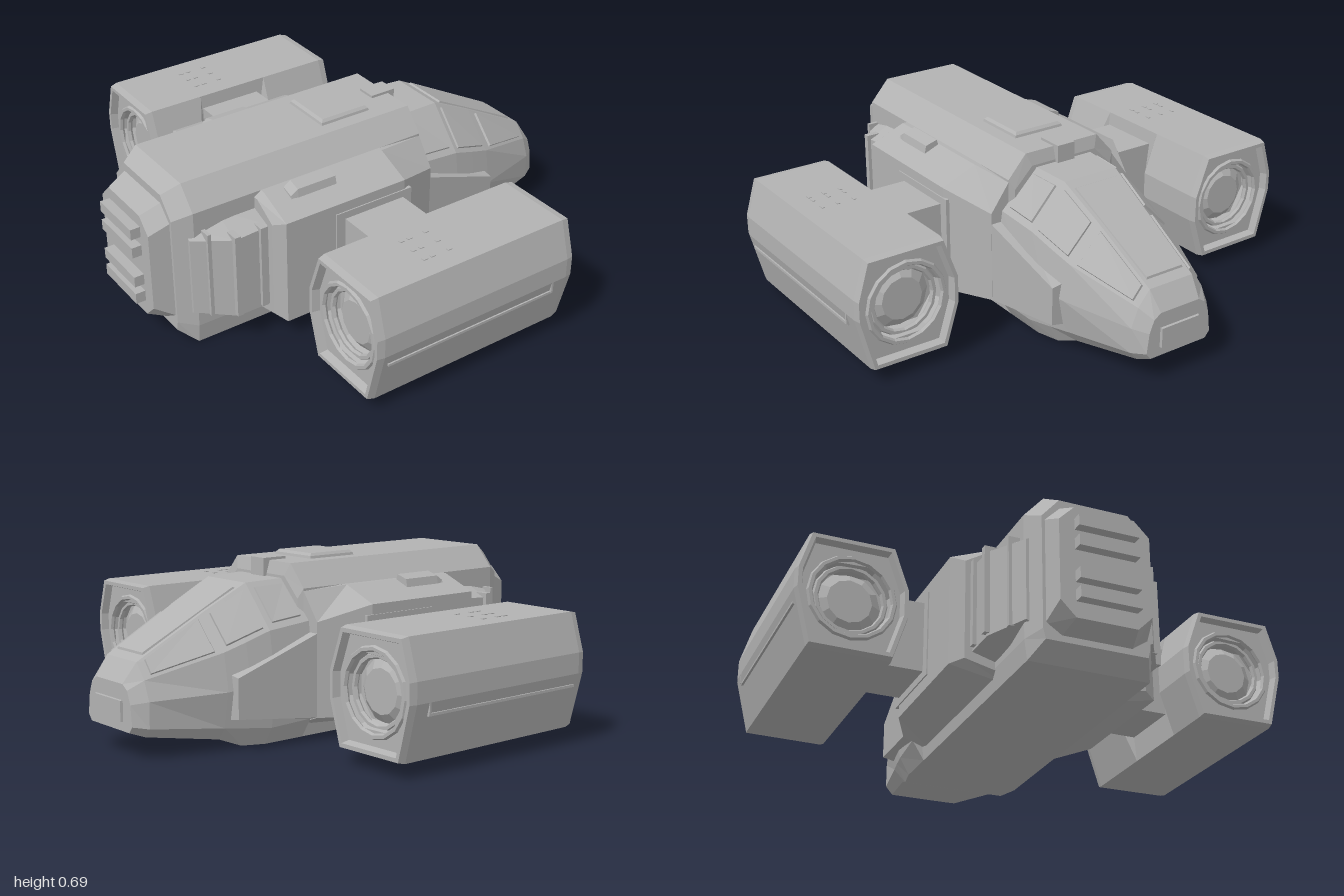
import * as THREE from 'three';

export function createModel() {
  const model = new THREE.Group();
  const hullGrey = new THREE.MeshStandardMaterial({ color: 0xb2b2b2 });
  hullGrey.name = 'hull grey';
  hullGrey.flatShading = true;

  const add = (geometry, name) => {
    const mesh = new THREE.Mesh(geometry, hullGrey);
    mesh.name = name;
    model.add(mesh);
    return mesh;
  };

  // Closed skin through rings of [x, y, z] points, turned outward by its volume
  function loft(rings, name) {
    const tris = [];
    const n = rings[0].length;
    for (let r = 0; r + 1 < rings.length; r++) {
      for (let i = 0; i < n; i++) {
        const j = (i + 1) % n;
        const a = rings[r][i], b = rings[r][j], c = rings[r + 1][j], d = rings[r + 1][i];
        tris.push([a, b, c], [a, c, d]);
      }
    }
    const first = rings[0], last = rings[rings.length - 1];
    for (let i = 1; i + 1 < n; i++) {
      tris.push([first[0], first[i + 1], first[i]], [last[0], last[i], last[i + 1]]);
    }
    let volume = 0;
    const v = tris.map(t => t.map(p => new THREE.Vector3(...p)));
    v.forEach(([a, b, c]) => { volume += a.dot(b.clone().cross(c)); });
    const pos = [];
    v.forEach(([a, b, c]) => (volume > 0 ? [a, b, c] : [a, c, b]).forEach(p => pos.push(p.x, p.y, p.z)));
    const geometry = new THREE.BufferGeometry();
    geometry.setAttribute('position', new THREE.Float32BufferAttribute(pos, 3));
    geometry.computeVertexNormals();
    return add(geometry, name);
  }

  // Sections are [x, [z, y], [z, y], ...]
  const mirrored = ([x, ...half]) => [
    ...half.map(([z, y]) => [x, y, z]),
    ...half.slice().reverse().map(([z, y]) => [x, y, -z]),
  ];
  const sided = s => ([x, ...pts]) => pts.map(([z, y]) => [x, y, z * s]);

  function box(name, x0, x1, y0, y1, z0, z1) {
    const mesh = add(new THREE.BoxGeometry(x1 - x0, y1 - y0, Math.abs(z1 - z0)), name);
    mesh.position.set((x0 + x1) / 2, (y0 + y1) / 2, (z0 + z1) / 2);
    return mesh;
  }

  // Thin plate lying on a four-cornered face, shrunk toward its middle
  function panel(name, corners, shrink = 0.82, lift = 0.008) {
    const p = corners.map(c => new THREE.Vector3(...c));
    const mid = p.reduce((m, c) => m.add(c), new THREE.Vector3()).multiplyScalar(0.25);
    const normal = p[2].clone().sub(p[0]).cross(p[3].clone().sub(p[1])).normalize();
    if (normal.dot(mid.clone().sub(new THREE.Vector3(mid.x - 0.1, 0.25, 0))) < 0) normal.negate();
    const ring = (k, h) => p.map(c => c.clone().sub(mid).multiplyScalar(k).add(mid).addScaledVector(normal, h).toArray());
    loft([ring(shrink, -0.003), ring(shrink - 0.03, lift)], name);
  }

  // Main hull
  loft([
    [-0.85, [0.14, 0.63], [0.21, 0.55], [0.21, 0.1], [0.2, 0.06]],
    [-0.78, [0.17, 0.67], [0.25, 0.58], [0.25, 0.08], [0.24, 0]],
    [0.25, [0.17, 0.67], [0.25, 0.58], [0.25, 0.08], [0.24, 0]],
    [0.265, [0.15, 0.62], [0.23, 0.54], [0.24, 0.08], [0.23, 0.01]],
  ].map(mirrored), 'mainHull');

  // Cockpit and nose
  const nose = [
    [0.25, [0.13, 0.61], [0.28, 0.46], [0.31, 0.25], [0.29, 0.08], [0.24, 0]],
    [0.43, [0.12, 0.605], [0.27, 0.44], [0.3, 0.25], [0.28, 0.07], [0.24, 0]],
    [0.53, [0.115, 0.555], [0.255, 0.405], [0.285, 0.24], [0.26, 0.08], [0.22, 0.005]],
    [0.62, [0.11, 0.51], [0.24, 0.375], [0.265, 0.23], [0.24, 0.09], [0.2, 0.04]],
    [0.91, [0.1, 0.355], [0.15, 0.295], [0.18, 0.22], [0.18, 0.12], [0.15, 0.085]],
    [0.965, [0.09, 0.28], [0.12, 0.26], [0.14, 0.21], [0.15, 0.13], [0.13, 0.105]],
  ].map(mirrored);
  loft(nose, 'cockpit');
  panel('windshield', [nose[1][0], nose[1][9], nose[4][9], nose[4][0]], 0.86);
  panel('nosePlate', [[0.967, 0.22, 0.09], [0.967, 0.22, -0.09], [0.967, 0.14, -0.09], [0.967, 0.14, 0.09]], 1);
  box('roofLatch', 0.17, 0.28, 0.6, 0.68, -0.04, 0.04);

  // Roof hatch
  loft([[0.66, 0.115], [0.68, 0.11], [0.69, 0.1]].map(([y, r]) =>
    [[-0.01 - r, y, -r], [-0.01 + r, y, -r], [-0.01 + r, y, r], [-0.01 - r, y, r]]), 'roofHatch');

  // Rear block and cooling fins
  loft([
    [-0.93, [0.12, 0.56], [0.18, 0.5], [0.18, 0.18], [0.12, 0.12]],
    [-0.84, [0.14, 0.6], [0.2, 0.54], [0.2, 0.12], [0.14, 0.08]],
  ].map(mirrored), 'rearBlock');
  for (const y of [0.205, 0.28, 0.41, 0.49]) box('rearFin', -0.97, -0.92, y - 0.022, y + 0.022, -0.12, 0.12);

  for (const s of [1, -1]) {
    const side = sided(s);

    // Cockpit side windows
    const edge = (i, k) => { const [x, y, z] = nose[i][k]; return [x, y, z * s]; };
    panel('sideWindowRear', [edge(0, 0), edge(1, 0), edge(1, 1), edge(0, 1)], 0.75);
    panel('sideWindowFront', [edge(1, 0), edge(3, 0), edge(3, 1), edge(1, 1)], 0.82);
    panel('sideWindowNose', [edge(3, 0), edge(4, 0), edge(4, 1), edge(3, 1)], 0.82);

    // Side pod with its front fairing
    loft([
      [-0.52, [0.2, 0.56], [0.27, 0.56], [0.37, 0.5], [0.37, 0.1], [0.2, 0.06]],
      [-0.49, [0.2, 0.58], [0.27, 0.58], [0.42, 0.52], [0.42, 0.08], [0.2, 0.04]],
      [0.05, [0.2, 0.58], [0.27, 0.58], [0.42, 0.52], [0.42, 0.08], [0.2, 0.04]],
      [0.25, [0.2, 0.58], [0.25, 0.57], [0.33, 0.46], [0.33, 0.09], [0.2, 0.04]],
    ].map(side), 'sidePod');

    // Lower cheek beside the cockpit
    loft([
      [0.24, [0.2, 0.42], [0.33, 0.42], [0.33, 0.09], [0.2, 0.05]],
      [0.6, [0.2, 0.3], [0.3, 0.285], [0.3, 0.13], [0.2, 0.11]],
    ].map(side), 'cheek');

    // Rear flank with ribs
    loft([
      [-0.8, [0.2, 0.5], [0.25, 0.47], [0.25, 0.15], [0.2, 0.12]],
      [-0.66, [0.2, 0.53], [0.34, 0.47], [0.34, 0.13], [0.2, 0.1]],
      [-0.51, [0.2, 0.53], [0.34, 0.48], [0.34, 0.13], [0.2, 0.09]],
    ].map(side), 'rearFlank');
    for (const x of [-0.67, -0.56]) box('flankRib', x, x + 0.025, 0.14, 0.49, s * 0.3, s * 0.355);
    box('flankRail', -0.75, -0.735, 0.14, 0.5, s * 0.25, s * 0.295);

    // Raised vent on the pod roof
    loft([
      [-0.41, [0.27, 0.56], [0.28, 0.58], [0.33, 0.565], [0.34, 0.54]],
      [-0.38, [0.27, 0.57], [0.28, 0.6], [0.33, 0.585], [0.34, 0.54]],
      [-0.21, [0.27, 0.57], [0.28, 0.6], [0.33, 0.585], [0.34, 0.54]],
    ].map(side), 'podVent');
    box('podSidePlate', -0.27, 0.08, 0.13, 0.48, s * 0.41, s * 0.425);

    box('pylon', -0.23, 0.04, 0.16, 0.45, s * 0.38, s * 0.65);

    // Engine nacelle, notched at the pylon and hollowed at both ends
    const cz = 0.785, cy = 0.282;
    const outline = [[0.955, 0.505], [1, 0.355], [1, 0.275], [0.945, 0.058],
      [0.63, 0.055], [0.575, 0.23], [0.575, 0.34], [0.635, 0.505]];
    const scaled = (x, k) => side([x, ...outline.map(([z, y]) => [cz + (z - cz) * k, cy + (y - cy) * k])]);
    const notched = x => side([x, ...outline.map(([z, y]) => [Math.max(z, 0.615), y])]);
    const round = (x, r) => side([x, ...outline.map(([z, y]) => {
      const a = Math.atan2(y - cy, z - cz);
      return [cz + r * Math.cos(a), cy + r * Math.sin(a)];
    })]);
    loft([
      round(-0.41, 0.14), round(-0.47, 0.165), scaled(-0.47, 0.86), scaled(-0.5, 0.9), scaled(-0.5, 0.97),
      scaled(-0.47, 1), scaled(-0.27, 1), notched(-0.235), notched(0.04), scaled(0.08, 1),
      scaled(0.37, 1), scaled(0.4, 0.97), scaled(0.4, 0.9), scaled(0.37, 0.86), round(0.37, 0.165), round(0.31, 0.14),
    ], 'nacelle');

    // Turbine rings and hub at each end
    for (const [x, d] of [[0.37, 1], [-0.47, -1]]) {
      for (const [r, t, back] of [[0.158, 0.012, 0], [0.13, 0.012, 0.025]]) {
        const ring = add(new THREE.TorusGeometry(r, t, 6, 16), 'turbineRing');
        ring.rotation.y = Math.PI / 2;
        ring.position.set(x - d * back, cy, s * cz);
      }
      const hub = add(new THREE.CylinderGeometry(0.085, 0.125, 0.03, 12), 'turbineHub');
      hub.rotation.z = -d * Math.PI / 2;
      hub.position.set(x - d * 0.045, cy, s * cz);
    }

    // Raised lips of the long side slot
    box('slotLipLower', -0.45, 0.31, 0.225, 0.235, s * 0.985, s * 0.996);
    box('slotLipUpper', -0.45, 0.31, 0.335, 0.343, s * 0.995, s * 1);
    box('slotLipEnd', 0.302, 0.31, 0.23, 0.34, s * 0.99, s * 1);

    // Small studs on top
    for (const x of [-0.2, -0.165, -0.09]) {
      for (const z of [0.73, 0.8, 0.865]) box('topStud', x - 0.01, x + 0.01, 0.5, 0.508, s * (z - 0.006), s * (z + 0.006));
    }
  }
  return model;
}
